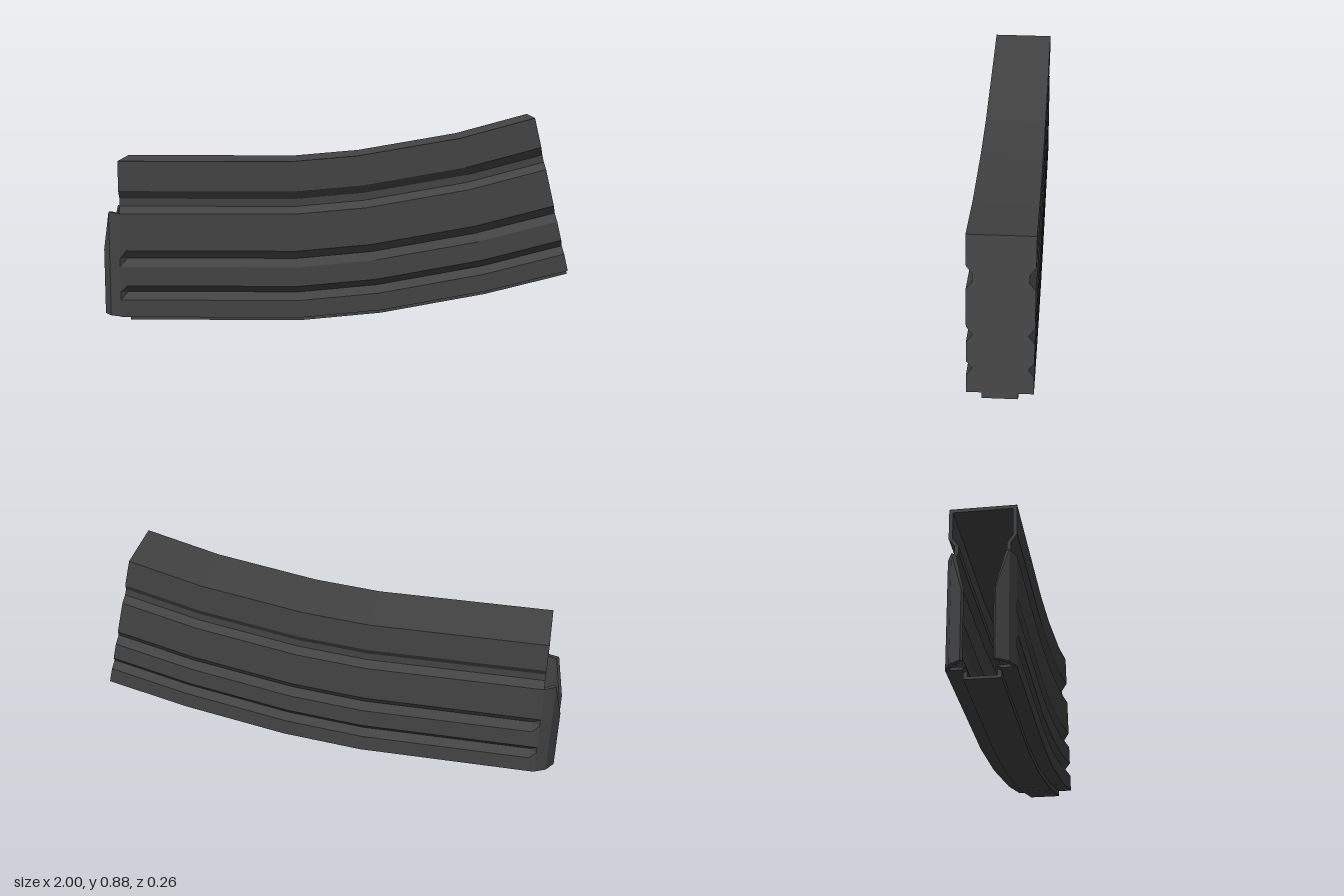
import * as THREE from 'three';

const WALL = 0.015;

// Bottom and top ends of each cross-section along the curved body: [xBottom, yBottom, xTop, yTop]
const STATIONS = [
  [-0.92, 0, -0.92, 0.70],
  [-0.89, 0, -0.89, 0.70],
  [-0.15, 0, -0.18, 0.70],
  [0.20, 0.035, 0.10, 0.725],
  [0.65, 0.12, 0.53, 0.80],
  [1.0, 0.21, 0.84, 0.885],
];

// Half cross-section [z, y] from the bottom ridge up to the top edge, with three side grooves
const HALF = [
  [0.07, 0], [0.07, 0.025], [0.072, 0.025], [0.13, 0.025],
  [0.13, 0.10], [0.106, 0.133], [0.13, 0.162],
  [0.13, 0.245], [0.106, 0.28], [0.13, 0.315],
  [0.13, 0.475], [0.106, 0.505], [0.106, 0.537], [0.13, 0.572],
  [0.13, 0.70],
];
const RIDGE = [0, 1]; // these points start a little further in
const CLOSED_GROOVES = [5, 8]; // these grooves run out before the open end

// One closed ring of the body, outer (inset 0) or inner (inset WALL)
function bodyRing(station, inset) {
  const half = HALF.map(([z, y], j) => {
    const [xb, yb, xt, yt] = STATIONS[station === 0 && RIDGE.includes(j) ? 1 : station];
    const depth = station === 0 && CLOSED_GROOVES.includes(j) ? 0.13 : z;
    let h = y;
    if (y < 0.03) h += inset * 0.8;
    if (y === 0.70) h -= inset;
    const t = h / 0.70;
    return new THREE.Vector3(xb + (xt - xb) * t, yb + (yt - yb) * t, depth - inset);
  });
  const mirrored = half.map((p) => new THREE.Vector3(p.x, p.y, -p.z)).reverse();
  return [...half, ...mirrored];
}

// Skin a list of closed rings, with optional flat caps across (z, y)
function loft(rings, capStart, capEnd) {
  const n = rings[0].length;
  const index = [];
  for (let i = 0; i < rings.length - 1; i++) {
    for (let j = 0; j < n; j++) {
      const k = (j + 1) % n;
      const a = i * n + j, b = (i + 1) * n + j, c = (i + 1) * n + k, d = i * n + k;
      index.push(a, b, c, a, c, d);
    }
  }
  const cap = (r, flip) => {
    const outline = rings[r].map((p) => new THREE.Vector2(-p.z, p.y)).reverse();
    for (const [a, b, c] of THREE.ShapeUtils.triangulateShape(outline, [])) {
      const f = [a, b, c].map((v) => r * n + (n - 1 - v));
      index.push(...(flip ? f.reverse() : f));
    }
  };
  if (capStart) cap(0, true);
  if (capEnd) cap(rings.length - 1, false);
  const geometry = new THREE.BufferGeometry().setFromPoints(rings.flat());
  geometry.setIndex(index);
  const flat = geometry.toNonIndexed();
  flat.computeVertexNormals();
  return flat;
}

export function createModel() {
  const group = new THREE.Group();
  const material = new THREE.MeshStandardMaterial({
    color: 0x444444, flatShading: true, side: THREE.DoubleSide,
  });
  const add = (name, geometry) => {
    const mesh = new THREE.Mesh(geometry, material);
    mesh.name = name;
    group.add(mesh);
  };

  // Hollow curved case: inner skin to the open end, then back along the outer skin
  const inner = STATIONS.map((_, i) => bodyRing(i, WALL)).reverse();
  const outer = STATIONS.map((_, i) => bodyRing(i, 0));
  add('curvedCase', loft([...inner, ...outer], false, true));

  // Feed lips curling inward at the open end: [xOuter, zOuter, xInner, zInner, yTop]
  const lip = [
    [-1.0, 0.063, -0.988, 0.055, 0.31],
    [-0.968, 0.108, -0.958, 0.094, 0.48],
    [-0.92, 0.13, -0.92, 0.115, 0.475],
  ];
  for (const side of [1, -1]) {
    const rings = lip.map(([xo, zo, xi, zi, top]) => {
      const ring = [
        new THREE.Vector3(xo, 0.027, side * zo),
        new THREE.Vector3(xo, top, side * zo),
        new THREE.Vector3(xi, top, side * zi),
        new THREE.Vector3(xi, 0.027, side * zi),
      ];
      return side > 0 ? ring : ring.reverse();
    });
    add(side > 0 ? 'frontFeedLip' : 'backFeedLip', loft(rings, true, false));
  }
  return group;
}
